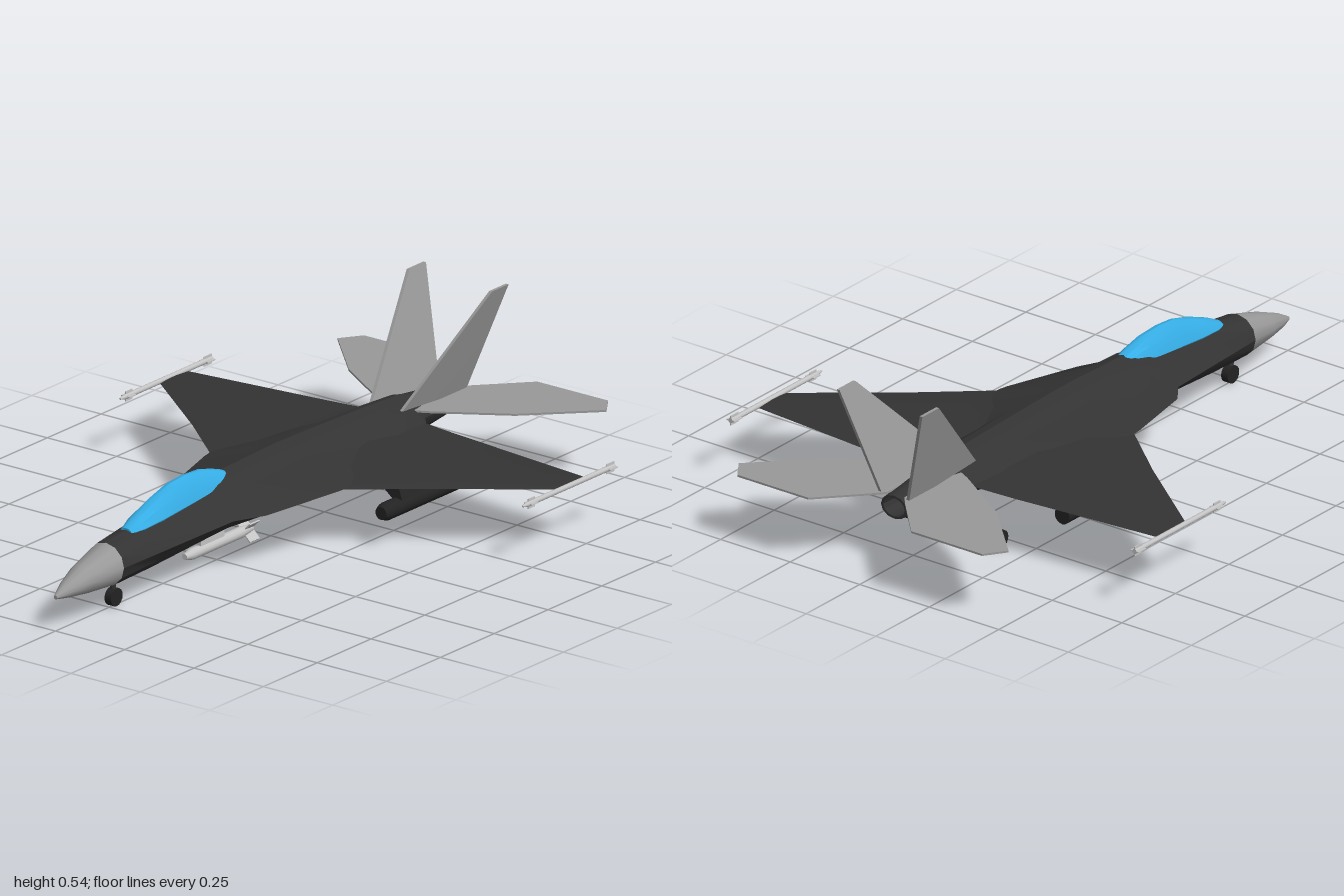
import * as THREE from 'three';
import { toCreasedNormals } from 'three/addons/utils/BufferGeometryUtils.js';

const mat = (name, color) => {
  const m = new THREE.MeshStandardMaterial({ color });
  m.name = name;
  return m;
};

// Closed skin through rings of [x, y, z] points; winding is set from the signed volume
function skin(rings, crease = 0.5) {
  const n = rings[0].length, pos = rings.flat(2), idx = [];
  for (let i = 0; i < rings.length - 1; i++)
    for (let j = 0; j < n; j++) {
      const a = i * n + j, b = i * n + (j + 1) % n;
      idx.push(a, b, b + n, a, b + n, a + n);
    }
  const e = (rings.length - 1) * n;
  for (let j = 1; j < n - 1; j++) idx.push(0, j + 1, j, e, e + j, e + j + 1);
  const v = (i) => new THREE.Vector3().fromArray(pos, i * 3);
  let volume = 0;
  for (let k = 0; k < idx.length; k += 3) volume += v(idx[k]).dot(v(idx[k + 1]).cross(v(idx[k + 2])));
  if (volume < 0) idx.reverse();
  const g = new THREE.BufferGeometry();
  g.setAttribute('position', new THREE.Float32BufferAttribute(pos, 3));
  g.setIndex(idx);
  return toCreasedNormals(g, crease);
}

// Full symmetric ring from right-half points running top to bottom
const ring = (half, z) => [
  ...half.map(([x, y]) => [x, y, z]),
  ...half.slice(1, -1).reverse().map(([x, y]) => [-x, y, z]),
];

// Fuselage section: top, bottom, edge half-width, edge height, barrel half-width
const bodyRing = ([z, t, b, e, y, w]) => ring([
  [0, t], [0.5 * w, y + (t - y) * 0.87], [0.87 * w, y + (t - y) * 0.5], [e, y],
  [0.87 * w, y + (b - y) * 0.5], [0.5 * w, y + (b - y) * 0.87], [0, b],
], z);

// Canopy section: top, base height, base half-width
const canopyRing = ([z, t, b, w]) => ring([
  [0, t], [w * 0.35, t - (t - b) * 0.06], [w * 0.72, b + (t - b) * 0.6],
  [w, b], [w * 0.8, b - 0.02], [0, b - 0.02],
], z);

// Wing section: leading z, trailing z, middle height, half thickness
const wingRing = ([x, l, t, y, h]) => [[0, 0], [0.25, 0.85], [0.55, 1], [1, 0], [0.55, -1], [0.25, -0.85]]
  .map(([f, k]) => [x, y + h * k, l + (t - l) * f]);

// Tapered round bar between two points
function rod(a, b, r1, r2 = r1, sides = 10) {
  const p = new THREE.Vector3(...a), d = new THREE.Vector3(...b).sub(p);
  const g = new THREE.CylinderGeometry(r2, r1, d.length(), sides);
  g.applyQuaternion(new THREE.Quaternion().setFromUnitVectors(new THREE.Vector3(0, 1, 0), d.clone().normalize()));
  return g.translate(...p.addScaledVector(d, 0.5).toArray());
}

export function createModel() {
  const model = new THREE.Group();
  const dark = mat('charcoal', 0x333333), grey = mat('mid grey', 0x999999);
  const blue = mat('canopy blue', 0x36aee6), pale = mat('pale grey', 0xc4c4c4), black = mat('black', 0x232323);
  const add = (name, geometry, material) => {
    const m = new THREE.Mesh(geometry, material);
    m.name = name;
    model.add(m);
  };

  // Nose cone and blended fuselage, ending in a hollow exhaust
  const neck = [0.765, 0.2, 0.072, 0.065, 0.137, 0.065];
  add('nose', skin([
    [1, 0.108, 0.096, 0.006, 0.102, 0.006], [0.95, 0.136, 0.088, 0.027, 0.111, 0.027],
    [0.88, 0.165, 0.08, 0.046, 0.123, 0.046], neck,
  ].map(bodyRing), 0.7), grey);
  add('fuselage', skin([
    neck,
    [0.6, 0.222, 0.077, 0.085, 0.147, 0.07],
    [0.33, 0.252, 0.091, 0.122, 0.166, 0.075],
    [0.25, 0.268, 0.094, 0.18, 0.174, 0.077],
    [0, 0.275, 0.075, 0.24, 0.187, 0.08],
    [-0.03, 0.275, 0.074, 0.245, 0.188, 0.08],
    [-0.12, 0.274, 0.076, 0.24, 0.188, 0.08],
    [-0.45, 0.264, 0.103, 0.14, 0.189, 0.068],
    [-0.6, 0.256, 0.12, 0.095, 0.188, 0.06],
    [-0.64, 0.246, 0.125, 0.06, 0.186, 0.057],
    [-0.84, 0.22, 0.148, 0.047, 0.184, 0.047],
    [-0.84, 0.213, 0.155, 0.039, 0.184, 0.039],
    [-0.76, 0.211, 0.157, 0.036, 0.184, 0.036],
  ].map(bodyRing)), dark);

  // Canopy
  add('canopy', skin([
    [0.672, 0.217, 0.205, 0.022], [0.63, 0.238, 0.211, 0.036], [0.55, 0.271, 0.217, 0.041],
    [0.47, 0.294, 0.224, 0.042], [0.4, 0.3, 0.229, 0.042], [0.32, 0.295, 0.236, 0.042],
    [0.26, 0.278, 0.243, 0.039], [0.228, 0.267, 0.25, 0.028],
  ].map(canopyRing)), blue);

  for (const s of [1, -1]) {
    const side = s > 0 ? 'left' : 'right';
    const flip = (p) => [s * p[0], p[1], p[2]];
    const sided = (rings, crease) => skin(rings.map((r) => r.map(flip)), crease);
    const bar = (a, b, ...r) => rod(flip(a), flip(b), ...r);

    // Wing
    add(side + 'Wing', sided([
      [0.04, 0.0, -0.606, 0.19, 0.028], [0.14, -0.01, -0.596, 0.187, 0.022], [0.24, -0.03, -0.587, 0.185, 0.018],
      [0.43, -0.19, -0.568, 0.184, 0.012], [0.717, -0.41, -0.54, 0.182, 0.004],
    ].map(wingRing)), dark);

    // Canted fin and flat tailplane
    const fin = [[0.055, 0.235, -0.535], [0.149, 0.535, -0.83], [0.149, 0.535, -0.907], [0.047, 0.21, -0.838]];
    add(side + 'Fin', sided([-0.005, 0.005].map((d) => fin.map(([x, y, z]) => [x + d, y, z])), 0.2), grey);
    const tail = [[0.03, -0.585], [0.09, -0.615], [0.3, -0.75], [0.485, -0.935], [0.44, -1], [0.185, -1], [0.055, -0.86], [0.03, -0.83]];
    add(side + 'Tailplane', sided([0.214, 0.22].map((y) => tail.map(([x, z]) => [x, y, z])), 0.2), grey);

    // Wingtip missile with cross fins at both ends
    const mx = 0.726, my = 0.184;
    add(side + 'WingtipMissile', bar([mx, my, -0.66], [mx, my, -0.26], 0.008), pale);
    add(side + 'MissileTip', bar([mx, my, -0.26], [mx, my, -0.235], 0.008, 0.003), pale);
    for (const [z, len] of [[-0.275, 0.03], [-0.642, 0.036]])
      for (const turn of [0, Math.PI / 2])
        add(side + 'MissileFin', new THREE.BoxGeometry(0.03, 0.003, len).rotateZ(turn).translate(s * mx, my, z), pale);

    // Underwing store on its pylon
    const px = 0.312, py = 0.106;
    const pylonRing = (y, w, a, b) => [[px - w, y, a], [px + w, y, a], [px + w, y, b], [px - w, y, b]];
    add(side + 'Pylon', sided([pylonRing(0.12, 0.016, -0.19, -0.42), pylonRing(0.178, 0.034, -0.15, -0.44)], 0.2), dark);
    add(side + 'Store', bar([px, py, -0.46], [px, py, -0.13], 0.027, 0.027, 14), black);
    add(side + 'StoreNose', bar([px, py, -0.13], [px, py, -0.11], 0.027, 0.02, 14), black);

    // Main landing gear
    add(side + 'GearStrut', bar([0.16, 0.04, -0.56], [0.04, 0.14, -0.54], 0.01, 0.012, 8), dark);
    add(side + 'MainWheel', bar([0.154, 0.03, -0.56], [0.175, 0.03, -0.56], 0.027, 0.027, 16), black);
  }

  // Nose gear
  add('noseStrut', rod([0, 0.03, 0.73], [0, 0.09, 0.735], 0.009, 0.009, 8), dark);
  add('noseWheel', rod([-0.012, 0.027, 0.73], [0.012, 0.027, 0.73], 0.027, 0.027, 16), black);

  // Belly store with pylon and tail fins
  const by = 0.051;
  add('bellyPylon', new THREE.BoxGeometry(0.016, 0.045, 0.11).translate(0, 0.08, 0.28), pale);
  add('bellyStore', rod([0, by, 0.14], [0, by, 0.37], 0.017, 0.017, 12), pale);
  add('bellyStoreNose', rod([0, by, 0.37], [0, by, 0.4], 0.017, 0.009, 12), pale);
  add('bellyStoreTail', rod([0, by, 0.09], [0, by, 0.14], 0.01, 0.017, 12), pale);
  for (const turn of [Math.PI / 4, -Math.PI / 4])
    add('bellyStoreFin', new THREE.BoxGeometry(0.078, 0.004, 0.045).rotateZ(turn).translate(0, by, 0.11), pale);
  return model;
}
